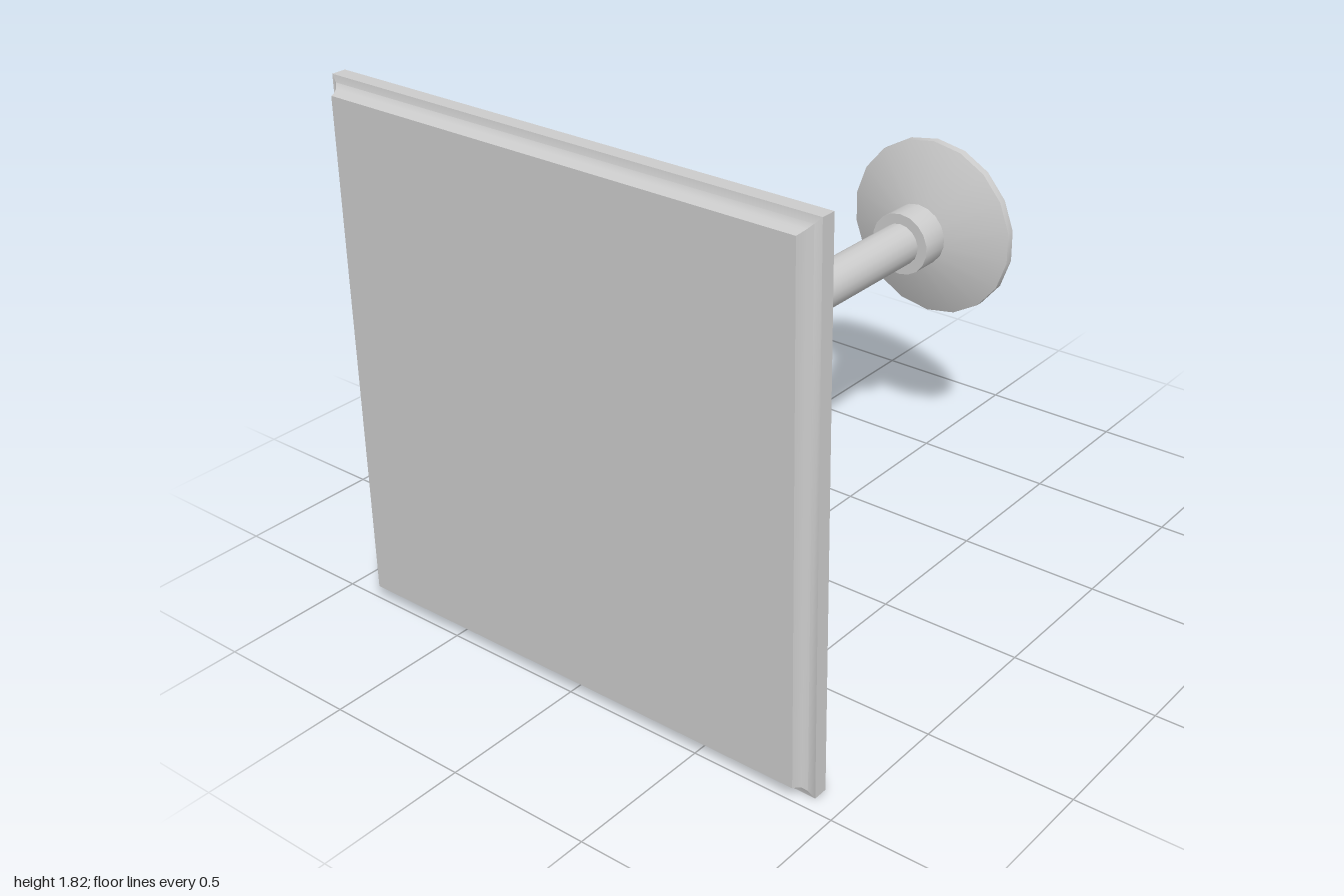
import * as THREE from 'three';
import { toCreasedNormals } from 'three/addons/utils/BufferGeometryUtils.js';

const material = new THREE.MeshStandardMaterial({ color: 0xcccccc });
const CENTRE_Y = 0.91;

// Turns a profile of [radius, z] points, listed from high z to low z, about the z axis
function turned(name, profile, sides, spin = 0) {
  const points = profile.map(([r, z]) => new THREE.Vector2(r, -z));
  const geometry = new THREE.LatheGeometry(points, sides);
  geometry.rotateY(spin).rotateX(-Math.PI / 2);
  const mesh = new THREE.Mesh(toCreasedNormals(geometry, 0.65), material);
  mesh.name = name;
  return mesh;
}

// Points on a quarter-ellipse between two angles
function arc(cr, cz, rr, rz, from, to, steps) {
  return Array.from({ length: steps + 1 }, (_, i) => {
    const a = from + (to - from) * i / steps;
    return [cr + rr * Math.cos(a), cz + rz * Math.sin(a)];
  });
}

export function createModel() {
  const table = new THREE.Group();
  table.name = 'pedestalTable';
  const body = new THREE.Group();
  body.name = 'tableBody';
  body.position.y = CENTRE_Y;
  table.add(body);

  // Square top with a coved, mitred edge
  const topProfile = [
    [0, 1], [0.862, 1], [0.866, 0.985], [0.873, 0.97], [0.887, 0.957],
    [0.908, 0.95], [0.908, 0.9], [0, 0.9],
  ].map(([half, z]) => [half * Math.SQRT2, z]);
  body.add(turned('tableTop', topProfile, 4, Math.PI / 4));

  // Round mounting plate with a softened rim, flaring into the column
  body.add(turned('mountingPlate', [
    [0, 0.9], [0.47, 0.9],
    ...arc(0.455, 0.875, 0.015, 0.015, 0, -Math.PI / 2, 4),
    ...arc(0.142, 0.785, 0.065, 0.075, Math.PI / 2, Math.PI, 7),
    [0.077, 0.76],
  ], 18));

  // Column
  body.add(turned('column', [[0.077, 0.785], [0.077, -0.79]], 18));

  // Collar around the foot end of the column
  body.add(turned('collar', [
    [0.07, -0.772], [0.115, -0.772], [0.115, -0.89], [0.07, -0.89],
  ], 18));

  // Conical foot
  body.add(turned('foot', [
    [0, -0.885], [0.115, -0.885], [0.33, -0.97], [0.33, -1], [0, -1],
  ], 18));

  // Four hex nuts with protruding studs
  for (let i = 0; i < 4; i++) {
    const a = i * Math.PI / 2;
    const bolt = new THREE.Group();
    bolt.name = 'bolt' + (i + 1);
    bolt.position.set(0.305 * Math.cos(a), 0.305 * Math.sin(a), 0);
    bolt.add(
      turned('nut', [[0.033, 0.865], [0.033, 0.846], [0, 0.846]], 6),
      turned('stud', [[0.018, 0.85], [0.018, 0.833], [0, 0.833]], 10),
    );
    body.add(bolt);
  }
  return table;
}
